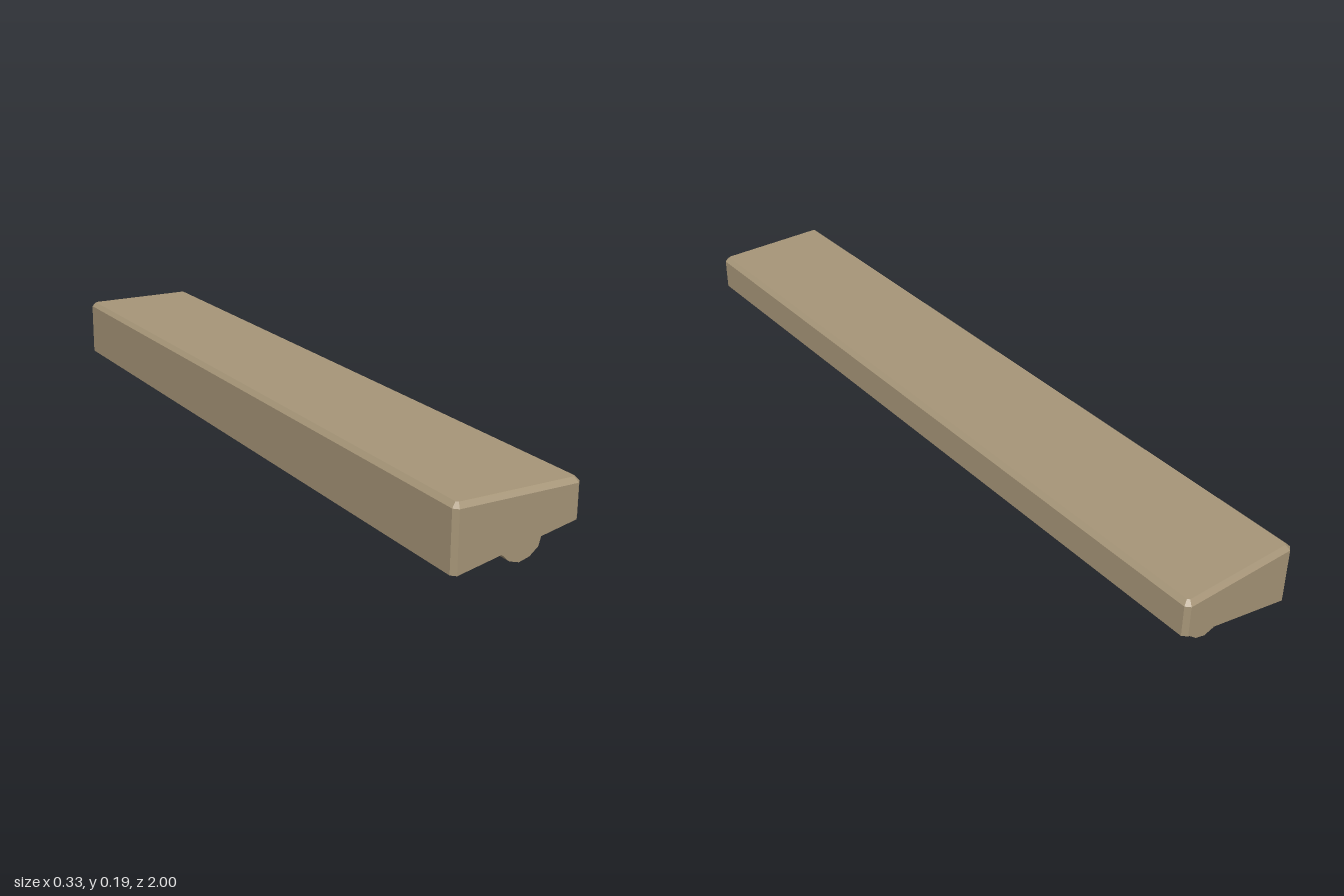
import * as THREE from 'three';
import { toCreasedNormals } from 'three/addons/utils/BufferGeometryUtils.js';

// Height of the slanted lower rim at a given x
const rimY = (x) => 0.033 + 0.064 * THREE.MathUtils.clamp((x + 0.155) / 0.31, 0, 1);

// Rectangle with cut corners, at a fixed height or following a rule
function ring(hx, hz, cut, y) {
  const pts = [
    [hx, -hz + cut], [hx, hz - cut], [hx - cut, hz], [-hx + cut, hz],
    [-hx, hz - cut], [-hx, -hz + cut], [-hx + cut, -hz], [hx - cut, -hz],
  ];
  return pts.map(([x, z]) => [x, typeof y === 'function' ? y(x) : y, z]);
}

// Skin a series of rings, optionally closing the first or last one
function loft(rings, capFirst, capLast) {
  const n = rings[0].length;
  const index = [];
  for (let r = 0; r < rings.length - 1; r++) {
    for (let i = 0; i < n; i++) {
      const j = (i + 1) % n;
      const a = r * n + i, b = (r + 1) * n + i, c = (r + 1) * n + j, d = r * n + j;
      index.push(a, b, c, a, c, d);
    }
  }
  const last = (rings.length - 1) * n;
  for (let i = 1; i < n - 1; i++) {
    if (capFirst) index.push(0, i, i + 1);
    if (capLast) index.push(last, last + i + 1, last + i);
  }
  const g = new THREE.BufferGeometry();
  g.setAttribute('position', new THREE.Float32BufferAttribute(rings.flat(2), 3));
  g.setIndex(index);
  g.computeVertexNormals();
  return g;
}

export function createModel() {
  const group = new THREE.Group();
  const bronze = new THREE.MeshStandardMaterial({ name: 'bronze', color: 0xa59477 });
  const glass = new THREE.MeshStandardMaterial({ name: 'tubeGrey', color: 0xbdbdbb });

  function add(name, geometry, material) {
    const mesh = new THREE.Mesh(geometry, material);
    mesh.name = name;
    group.add(mesh);
    return mesh;
  }

  // Housing: thin rim, slanted walls and chamfered top
  const innerRim = ring(0.156, 0.988, 0.01, rimY);
  const outer = loft([
    innerRim,
    ring(0.166, 1, 0.011, rimY),
    ring(0.166, 1, 0.011, 0.181),
    ring(0.155, 0.989, 0.005, 0.193),
  ], false, true);
  add('housing', toCreasedNormals(outer, 0.3), bronze);

  // Hollow underside with a soft transition from walls to ceiling
  add('housingInterior', loft([ring(0.15, 0.982, 0.01, 0.18), innerRim], true, false), bronze);

  // Tapered, round-bottomed holder at each end
  const profile = [
    [0.132, 0.181], [0.111, 0.085], [0.095, 0.029], [0.072, 0.01], [0.044, 0.002],
    [0.017, 0.01], [-0.003, 0.029], [-0.02, 0.085], [-0.042, 0.181],
  ];
  const shape = new THREE.Shape(profile.map(([x, y]) => new THREE.Vector2(x, y)).reverse());
  const holder = toCreasedNormals(
    new THREE.ExtrudeGeometry(shape, { depth: 0.036, bevelEnabled: false }).translate(0, 0, -0.018), 0.8);
  for (const [name, z] of [['frontHolder', 0.934], ['backHolder', -0.934]]) {
    add(name, holder, bronze).position.z = z;
  }

  // Light tube
  const tube = new THREE.CylinderGeometry(0.043, 0.043, 1.81, 20).rotateX(Math.PI / 2);
  add('lightTube', tube, glass).position.set(0.045, 0.056, 0);

  return group;
}
